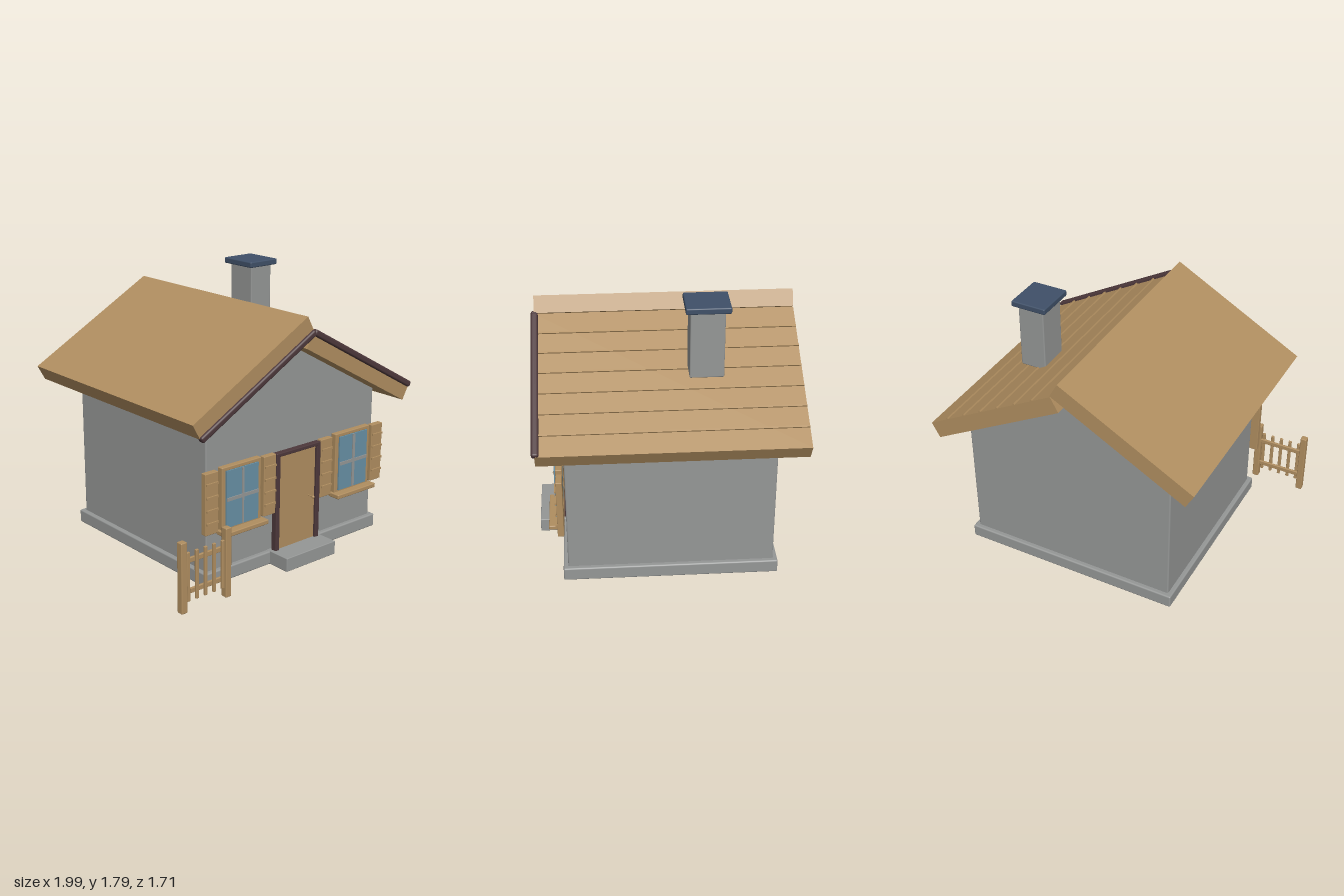
import * as THREE from 'three';
import { RoundedBoxGeometry } from 'three/addons/geometries/RoundedBoxGeometry.js';

const material = (name, color) => {
  const m = new THREE.MeshStandardMaterial({ color });
  m.name = name;
  return m;
};

export function createModel() {
  const wood = material('wood', 0xb08e60);
  const stone = material('stone', 0x959796);
  const darkWood = material('darkWood', 0x4d383b);
  const slate = material('slate', 0x3f5068);
  const glass = material('glass', 0x6790a5);

  const house = new THREE.Group();
  house.name = 'cottage';

  const add = (parent, name, geometry, mat) => {
    const mesh = new THREE.Mesh(geometry, mat);
    mesh.name = name;
    parent.add(mesh);
    return mesh;
  };
  // Box given by its limits on each axis; r rounds the edges
  const box = (parent, name, mat, [x0, x1], [y0, y1], [z0, z1], r = 0) => {
    const size = [x1 - x0, y1 - y0, z1 - z0];
    const geometry = r ? new RoundedBoxGeometry(...size, 2, r) : new THREE.BoxGeometry(...size);
    const mesh = add(parent, name, geometry, mat);
    mesh.position.set((x0 + x1) / 2, (y0 + y1) / 2, (z0 + z1) / 2);
    return mesh;
  };
  const group = (name) => {
    const g = new THREE.Group();
    g.name = name;
    house.add(g);
    return g;
  };

  // Foundation, step and walls
  box(house, 'foundation', stone, [-0.67, 0.85], [0, 0.09], [-0.71, 0.67], 0.01);
  box(house, 'doorStep', stone, [-0.13, 0.305], [0, 0.093], [0.5, 0.828], 0.005);
  box(house, 'walls', stone, [-0.64, 0.82], [0.08, 1.035], [-0.68, 0.64], 0.01);

  // Gable block above the walls
  const triangle = new THREE.Shape([
    new THREE.Vector2(-0.64, 1.025),
    new THREE.Vector2(0.82, 1.025),
    new THREE.Vector2(0.09, 1.52),
  ]);
  const gable = add(house, 'gable',
    new THREE.ExtrudeGeometry(triangle, { depth: 1.32, bevelEnabled: false }), stone);
  gable.position.z = -0.68;

  // Roof: the left slab rides higher than the right one
  const pitch = 0.507;
  const roofLeft = add(house, 'roofLeft', new THREE.BoxGeometry(1.032, 0.112, 1.66), wood);
  roofLeft.position.set(-0.393, 1.338, -0.025);
  roofLeft.rotation.z = pitch;
  const roofRight = add(house, 'roofRight', new THREE.BoxGeometry(1.036, 0.112, 1.66), wood);
  roofRight.position.set(0.508, 1.233, -0.025);
  roofRight.rotation.z = -pitch;
  for (let i = 0; i < 6; i++) {
    const x = (0.215 + i * 0.129 - 0.535) / Math.cos(pitch);
    box(roofRight, 'roofBatten', wood, [x - 0.006, x + 0.006], [0.05, 0.066], [-0.83, 0.83]);
  }

  // Dark boards along the front roof edges
  for (const side of [-1, 1]) {
    const board = add(house, 'roofEdgeBoard', new RoundedBoxGeometry(1.035, 0.042, 0.045, 3, 0.014), darkWood);
    board.position.set(0.087 + side * 0.449, 1.283, 0.802);
    board.rotation.z = -side * pitch;
  }

  // Chimney
  box(house, 'chimney', stone, [0.418, 0.597], [1.315, 1.765], [-0.358, -0.145], 0.008);
  box(house, 'chimneyCap', slate, [0.385, 0.627], [1.755, 1.795], [-0.39, -0.115], 0.008);

  // Door
  const door = group('door');
  box(door, 'doorPanel', wood, [-0.08, 0.25], [0.09, 0.735], [0.63, 0.68]);
  box(door, 'doorJamb', darkWood, [-0.107, -0.074], [0.09, 0.755], [0.655, 0.697], 0.005);
  box(door, 'doorJamb', darkWood, [0.246, 0.28], [0.09, 0.755], [0.655, 0.697], 0.005);
  box(door, 'doorLintel', darkWood, [-0.107, 0.28], [0.73, 0.755], [0.655, 0.697], 0.005);
  const knob = add(door, 'doorKnob', new THREE.SphereGeometry(0.01, 12, 8), wood);
  knob.position.set(0.193, 0.4, 0.725);
  const stem = add(door, 'knobStem', new THREE.CylinderGeometry(0.004, 0.004, 0.05, 8), wood);
  stem.rotation.x = Math.PI / 2;
  stem.position.set(0.193, 0.4, 0.7);

  // Windows with frame, glass, cross bars and sill
  for (const x of [-0.4, 0.577]) {
    const w = group('window');
    w.position.x = x;
    for (const s of [-1, 1]) {
      const c = s * 0.144;
      box(w, 'frameSide', wood, [c - 0.016, c + 0.016], [0.36, 0.77], [0.655, 0.697], 0.005);
    }
    box(w, 'frameTop', wood, [-0.16, 0.16], [0.745, 0.77], [0.655, 0.697], 0.005);
    box(w, 'frameBottom', wood, [-0.16, 0.16], [0.35, 0.378], [0.655, 0.697], 0.005);
    box(w, 'pane', glass, [-0.13, 0.13], [0.375, 0.747], [0.66, 0.706]);
    const half = x < 0 ? 0.007 : 0.011;
    box(w, 'verticalBar', stone, [-half, half], [0.378, 0.745], [0.7, 0.712]);
    box(w, 'horizontalBar', stone, [-0.128, 0.128], [0.55, 0.572], [0.7, 0.712]);
    box(w, 'sill', wood, [-0.178, 0.18], [0.334, 0.364], [0.66, 0.752], 0.006);
  }

  // Shutters with slats
  for (const x of [-0.638, -0.163, 0.338, 0.815]) {
    const shutter = group('shutter');
    shutter.position.x = x;
    box(shutter, 'shutterBoard', wood, [-0.051, 0.051], [0.36, 0.76], [0.655, 0.695], 0.004);
    for (const y of [0.435, 0.519, 0.604, 0.69]) {
      box(shutter, 'slat', wood, [-0.046, 0.046], [y - 0.007, y + 0.007], [0.69, 0.706]);
    }
  }

  // Fence beside the house
  const fence = group('fence');
  for (const x of [-0.978, -0.637]) {
    box(fence, 'fencePost', wood, [x - 0.022, x + 0.022], [0, 0.455], [0.807, 0.852], 0.006);
  }
  for (const y of [0.322, 0.123]) {
    box(fence, 'fenceRail', wood, [-0.97, -0.645], [y - 0.016, y + 0.016], [0.815, 0.832], 0.004);
  }
  for (let i = 0; i < 5; i++) {
    const x = -0.94 + i * 0.0665;
    box(fence, 'picket', wood, [x - 0.011, x + 0.011], [0.065, 0.382], [0.828, 0.845], 0.004);
  }

  return house;
}
